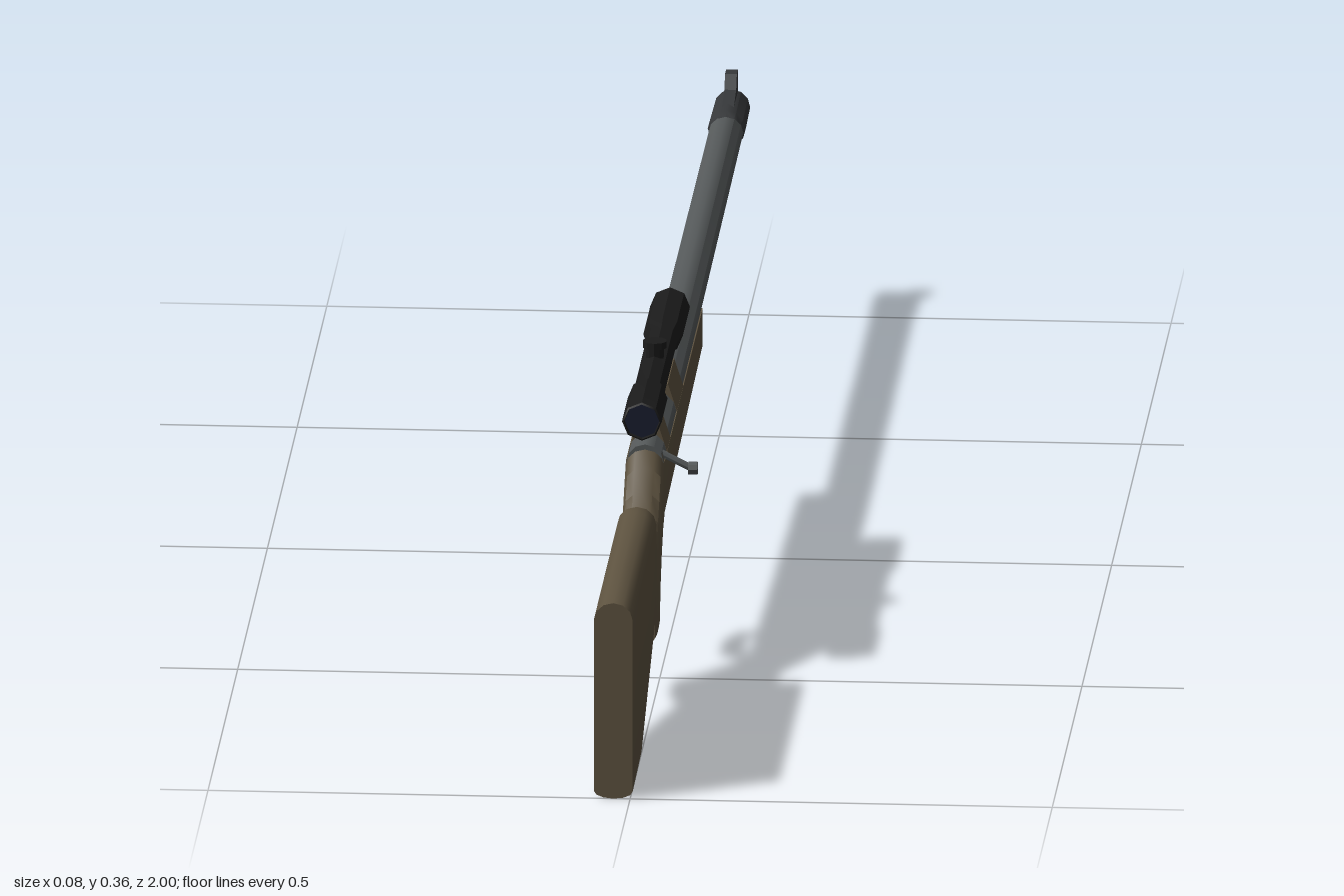
import * as THREE from 'three';
import { toCreasedNormals } from 'three/addons/utils/BufferGeometryUtils.js';

const mat = (color) => new THREE.MeshStandardMaterial({ color });
const wood = mat(0x5e5340), steel = mat(0x55595a), black = mat(0x1b1b1b), dark = mat(0x36383a), glass = mat(0x181d2e);
const HALF = 0.023;

export function createModel() {
  const model = new THREE.Group();
  const body = new THREE.Group();
  body.name = 'body';
  body.position.x = -0.02;
  model.add(body);

  const add = (name, geometry, material, x = 0, y = 0, z = 0) => {
    const mesh = new THREE.Mesh(toCreasedNormals(geometry, 0.6), material);
    mesh.name = name;
    mesh.position.set(x, y, z);
    body.add(mesh);
    return mesh;
  };
  // Turned part along z from [z, radius] pairs, listed from the +z end
  const turned = (name, profile, sides, material, y) => {
    const geo = new THREE.LatheGeometry(profile.map(([z, r]) => new THREE.Vector2(r, -z)), sides);
    geo.rotateX(-Math.PI / 2);
    return add(name, geo, material, 0, y, 0);
  };
  // Side outline of [z, y] points, extruded across x
  const sidePlate = (name, outline, width, material) => {
    const shape = new THREE.Shape(outline.map(([z, y]) => new THREE.Vector2(-z, y)));
    const geo = new THREE.ExtrudeGeometry(shape, { depth: width, bevelEnabled: false });
    geo.translate(0, 0, -width / 2).rotateY(Math.PI / 2);
    return add(name, geo, material);
  };

  // Stock: arched cross-sections [z, bottom, top, top arch, bottom arch]
  const stations = [
    [1, 0.002, 0.243, 0.021, 0.009], [0.85, 0.007, 0.243, 0.021, 0.009],
    [0.625, 0.097, 0.243, 0.021, 0.009], [0.625, 0.079, 0.243, 0.021, 0.009],
    [0.602, 0.075, 0.243, 0.021, 0.009], [0.596, 0.074, 0.217, 0.021, 0.009],
    [0.58, 0.073, 0.203, 0.021, 0.009], [0.56, 0.073, 0.2, 0.021, 0.009],
    [0.542, 0.076, 0.205, 0.021, 0.009], [0.53, 0.115, 0.213, 0.021, 0.009],
    [0.508, 0.15, 0.232, 0.021, 0.009], [0.485, 0.173, 0.256, 0.021, 0.009],
    [0.46, 0.186, 0.277, 0.021, 0.009], [0.46, 0.186, 0.257, 0, 0.009],
    [-0.18, 0.201, 0.255, 0, 0.009],
  ];
  const N = 7, RING = 2 * N;
  const positions = [], index = [];
  for (const [z, bottom, top, archTop, archBottom] of stations) {
    for (let k = 0; k < RING; k++) {
      const upper = k >= N;
      const t = (k % N) / (N - 1) * Math.PI;
      const x = (upper ? 1 : -1) * HALF * Math.cos(t);
      const y = upper
        ? top - archTop * (1 - Math.sin(t))
        : bottom + archBottom * (1 - Math.sin(t));
      positions.push(x, y, z);
    }
  }
  const last = (stations.length - 1) * RING;
  for (let s = 0; s < stations.length - 1; s++) {
    for (let k = 0; k < RING; k++) {
      const a = s * RING + k, b = s * RING + (k + 1) % RING;
      index.push(a, a + RING, b + RING, a, b + RING, b);
    }
  }
  for (let k = 1; k < RING - 1; k++) {
    index.push(0, k, k + 1, last, last + k + 1, last + k);
  }
  const stockGeo = new THREE.BufferGeometry();
  stockGeo.setAttribute('position', new THREE.Float32BufferAttribute(positions, 3));
  stockGeo.setIndex(index);
  add('stock', stockGeo.toNonIndexed(), wood);

  // Barrel with receiver, and the muzzle sleeve with a bore
  turned('barrel', [[0.465, 0], [0.465, 0.022], [-0.18, 0.022], [-0.92, 0.0205], [-0.92, 0]], 12, steel, 0.257);
  turned('muzzle', [[-0.89, 0.019], [-0.91, 0.0225], [-1, 0.0215], [-1, 0.011], [-0.96, 0.011], [-0.96, 0]], 12, dark, 0.258);

  // Front sight ramp and post
  sidePlate('frontSight', [[-0.905, 0.272], [-0.97, 0.288], [-0.982, 0.304], [-1, 0.304], [-1, 0.272]], 0.014, dark);

  // Bolt handle and knob
  const bolt = new THREE.LineCurve3(new THREE.Vector3(0.008, 0.268, 0.445), new THREE.Vector3(0.056, 0.244, 0.445));
  add('boltHandle', new THREE.TubeGeometry(bolt, 1, 0.0045, 8), steel);
  const knob = new THREE.CylinderGeometry(0.008, 0.008, 0.011, 8).rotateZ(Math.PI / 2);
  add('boltKnob', knob, steel, 0.0555, 0.245, 0.445);

  // Trigger guard: a rounded loop with an opening
  const guardPath = (m) => [
    [0.468 - m, 0.192], [0.468 - m, 0.15 + m * 0.4], [0.45 - m * 0.4, 0.129 + m],
    [0.388 + m * 0.4, 0.129 + m], [0.367 + m, 0.148 + m * 0.4], [0.367 + m, 0.192],
  ];
  sidePlate('triggerGuard', [...guardPath(0), ...guardPath(0.008).reverse()], 0.02, dark);
  sidePlate('trigger', [[0.442, 0.192], [0.437, 0.165], [0.443, 0.145], [0.436, 0.145], [0.427, 0.165], [0.428, 0.192]], 0.008, dark);

  // Scope mounts: flared feet with a narrow neck under the tube
  const mounts = [['rearMount', 0.388, 0.058, 0.036], ['frontMount', 0.198, 0.106, 0.072]];
  for (const [name, z, footLength, neckLength] of mounts) {
    const foot = new THREE.Shape([
      [-HALF, 0.256], [HALF, 0.256], [0.012, 0.29], [-0.012, 0.29],
    ].map(([x, y]) => new THREE.Vector2(x, y)));
    const footGeo = new THREE.ExtrudeGeometry(foot, { depth: footLength, bevelEnabled: false });
    add(name + 'Foot', footGeo, wood, 0, 0, z - footLength / 2);
    add(name + 'Neck', new THREE.BoxGeometry(0.021, 0.03, neckLength), wood, 0, 0.297, z);
  }

  // Scope tube with wider ends, recessed lenses and adjustment turret
  turned('scope', [
    [0.512, 0], [0.512, 0.02], [0.52, 0.0215], [0.518, 0.0235], [0.42, 0.0235], [0.4, 0.0185],
    [0.185, 0.0185], [0.16, 0.0235], [0.042, 0.0235], [0.04, 0.0215], [0.048, 0.02], [0.048, 0],
  ], 8, black, 0.323);
  for (const [name, z] of [['rearLens', 0.514], ['frontLens', 0.046]]) {
    const lens = new THREE.CylinderGeometry(0.0205, 0.0205, 0.004, 8).rotateX(Math.PI / 2);
    add(name, lens, glass, 0, 0.323, z);
  }
  add('turretStem', new THREE.CylinderGeometry(0.011, 0.011, 0.02, 10), black, 0, 0.343, 0.3);
  add('turretCap', new THREE.CylinderGeometry(0.0145, 0.0145, 0.008, 10), black, 0, 0.354, 0.3);

  return model;
}
